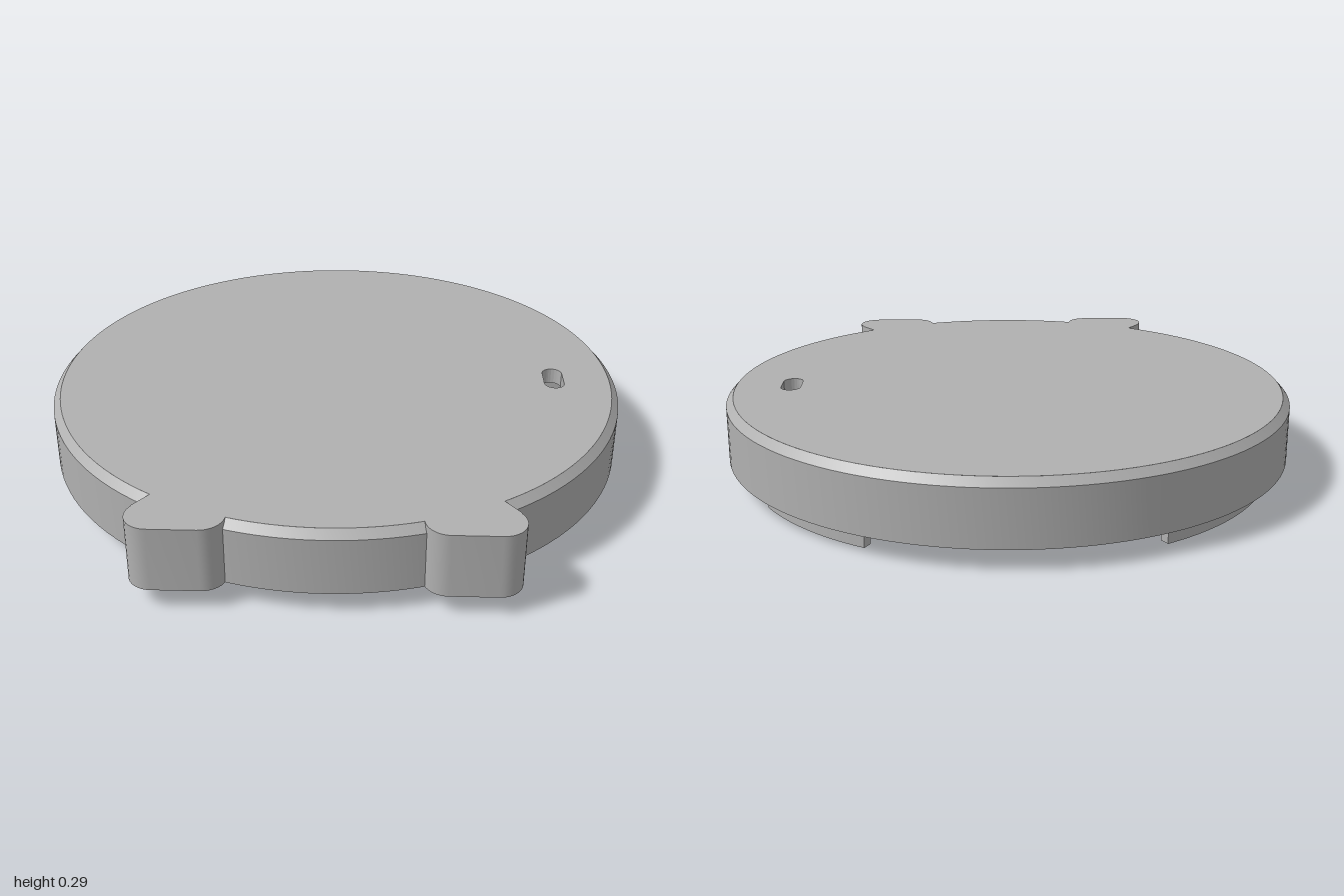
import * as THREE from 'three';
import { toCreasedNormals } from 'three/addons/utils/BufferGeometryUtils.js';

const BOTTOM = 0.07, TOP = 0.29, CEILING = 0.235, INNER = 0.935;

export function createModel() {
  const group = new THREE.Group();
  const grey = new THREE.MeshStandardMaterial({ color: 0xb0b0b0 });
  grey.name = 'grey';

  const add = (name, geometry) => {
    const mesh = new THREE.Mesh(toCreasedNormals(geometry, 0.5), grey);
    mesh.name = name;
    group.add(mesh);
  };
  // Outline drawn in x and z, raised from y0 to y1
  const slab = (shape, y0, y1, curveSegments = 24) =>
    new THREE.ExtrudeGeometry(shape, { depth: y1 - y0, bevelEnabled: false, curveSegments })
      .rotateX(Math.PI / 2).translate(0, y1, 0);
  const rectangle = (x0, x1, z0, z1) => new THREE.Shape([
    new THREE.Vector2(x0, z0), new THREE.Vector2(x1, z0),
    new THREE.Vector2(x1, z1), new THREE.Vector2(x0, z1)]);

  // Side wall with a chamfered upper edge
  const profile = [[INNER, CEILING], [INNER, BOTTOM], [1, BOTTOM], [1, 0.263], [0.975, TOP]];
  add('rim', new THREE.LatheGeometry(profile.map(([r, y]) => new THREE.Vector2(r, y)), 128));

  // Flat top with a rounded slot
  const plate = new THREE.Shape().absarc(0, 0, 0.975, 0, Math.PI * 2);
  const slot = new THREE.Path();
  slot.absarc(0.778, 0.038, 0.035, 0, Math.PI);
  slot.absarc(0.778, -0.038, 0.035, Math.PI, Math.PI * 2);
  slot.closePath();
  plate.holes.push(slot);
  add('topPlate', slab(plate, CEILING, TOP, 128));

  // Open frame under the slot
  const frame = rectangle(0.67, 0.87, -0.15, 0.15);
  frame.holes.push(rectangle(0.69, 0.85, -0.13, 0.13));
  add('slotFrame', slab(frame, 0.165, CEILING));

  // Two rounded lugs on the front edge
  for (const side of [1, -1]) {
    const outline = [[0.29, 0.92], [0.53, 0.8], [0.585, 0.873]];
    const corner = (cx, from, to) => {
      for (let i = 0; i <= 12; i++) {
        const a = from + (to - from) * i / 12;
        outline.push([cx + 0.077 * Math.cos(a), 0.923 + 0.077 * Math.sin(a)]);
      }
    };
    corner(0.523, -0.6, Math.PI / 2);
    corner(0.372, Math.PI / 2, Math.PI);
    const shape = new THREE.Shape(outline.map(([x, z]) => new THREE.Vector2(side * x, z)));
    add(side > 0 ? 'leftLug' : 'rightLug', slab(shape, BOTTOM, TOP));
  }

  // Four curved clips inside the wall, reaching below it
  for (let i = 0; i < 4; i++) {
    const middle = Math.PI / 4 + i * Math.PI / 2, half = Math.PI / 12;
    const clip = new THREE.Shape();
    clip.absarc(0, 0, INNER, middle - half, middle + half, false);
    clip.absarc(0, 0, 0.9, middle + half, middle - half, true);
    clip.closePath();
    add('clip' + (i + 1), slab(clip, 0, 0.12));
  }
  return group;
}
